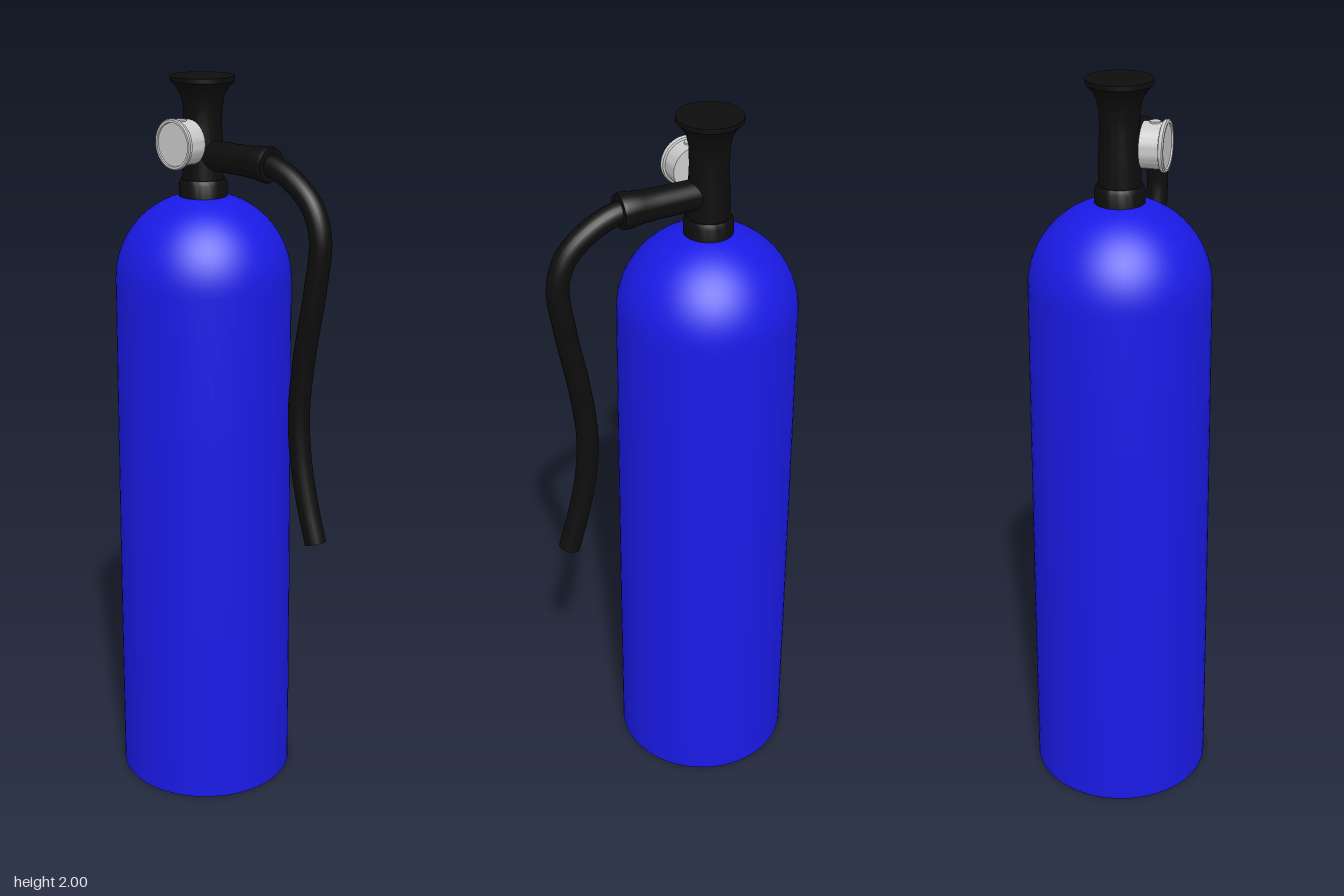
import * as THREE from 'three';
import { toCreasedNormals } from 'three/addons/utils/BufferGeometryUtils.js';

const blue = new THREE.MeshStandardMaterial({ color: 0x1a1ae6 });
const black = new THREE.MeshStandardMaterial({ color: 0x0d0d0d });
const grey = new THREE.MeshStandardMaterial({ color: 0xcccccc });
const AXIS_Z = -0.1;

export function createModel() {
  const group = new THREE.Group();

  const add = (name, geometry, material, x = 0, y = 0, z = AXIS_Z) => {
    const mesh = new THREE.Mesh(geometry, material);
    mesh.name = name;
    mesh.position.set(x, y, z);
    group.add(mesh);
    return mesh;
  };
  // Turned part from [radius, height] pairs, with sharp corners kept
  const turned = (points, segments = 48) => toCreasedNormals(
    new THREE.LatheGeometry(points.map(([r, h]) => new THREE.Vector2(r, h)), segments), 0.6);

  // Tank: slightly tapered wall and elliptical dome
  const tank = [[0, 0], [0.245, 0], [0.243, 0.5], [0.239, 1.1]];
  for (let i = 0; i <= 16; i++) {
    const a = (i / 16) * Math.PI / 2;
    tank.push([0.236 * Math.cos(a), 1.47 + 0.23 * Math.sin(a)]);
  }
  add('tank', turned(tank, 64), blue);

  // Valve neck: collar at the base, slim stem, flared head
  add('neckCollar', turned([[0, 1.67], [0.064, 1.67], [0.064, 1.725], [0.058, 1.737], [0, 1.737]]), black);
  add('valveHead', turned([
    [0, 1.72], [0.054, 1.72], [0.053, 1.8], [0.05, 1.87], [0.051, 1.92],
    [0.057, 1.95], [0.067, 1.97], [0.084, 1.988], [0.084, 2], [0, 2],
  ]), black);

  // Outlet pipe with a flared lip, pointing to the front
  const outlet = add('outlet', turned([
    [0, 0], [0.039, 0], [0.039, 0.14], [0.041, 0.19], [0.047, 0.235], [0.044, 0.245], [0, 0.245],
  ], 32), black, 0, 1.8);
  outlet.rotation.x = Math.PI / 2;

  // Hose: swings over the shoulder and hangs down, closed at the tip
  const path = [
    [1.8, 0.1], [1.797, 0.15], [1.768, 0.22], [1.715, 0.283], [1.64, 0.312], [1.5, 0.298],
    [1.34, 0.269], [1.18, 0.251], [1.05, 0.259], [0.92, 0.287], [0.82, 0.317],
  ].map(([y, z]) => new THREE.Vector3(0, y, z));
  const curve = new THREE.CatmullRomCurve3(path);
  add('hose', new THREE.TubeGeometry(curve, 80, 0.029, 20), black, 0, 0, 0);
  const tip = curve.getPoint(1);
  const cap = add('hoseTip', new THREE.CircleGeometry(0.029, 20), black, tip.x, tip.y, tip.z);
  cap.quaternion.setFromUnitVectors(new THREE.Vector3(0, 0, 1), curve.getTangent(1));

  // Pressure gauge on the right side, its face turned outwards
  const gauge = add('gauge', turned([
    [0, 0], [0.058, 0], [0.058, 0.048], [0.063, 0.05], [0.065, 0.053],
    [0.065, 0.059], [0.062, 0.062], [0.056, 0.062], [0.055, 0.058], [0, 0.058],
  ]), grey, -0.058, 1.838, -0.09);
  gauge.rotation.z = Math.PI / 2;
  const stem = add('gaugeStem', new THREE.CylinderGeometry(0.015, 0.015, 0.05, 20), grey, -0.05, 1.838, -0.09);
  stem.rotation.z = Math.PI / 2;
  add('gaugeStud', new THREE.CylinderGeometry(0.014, 0.014, 0.02, 20), grey, -0.087, 1.889, -0.09);

  return group;
}
